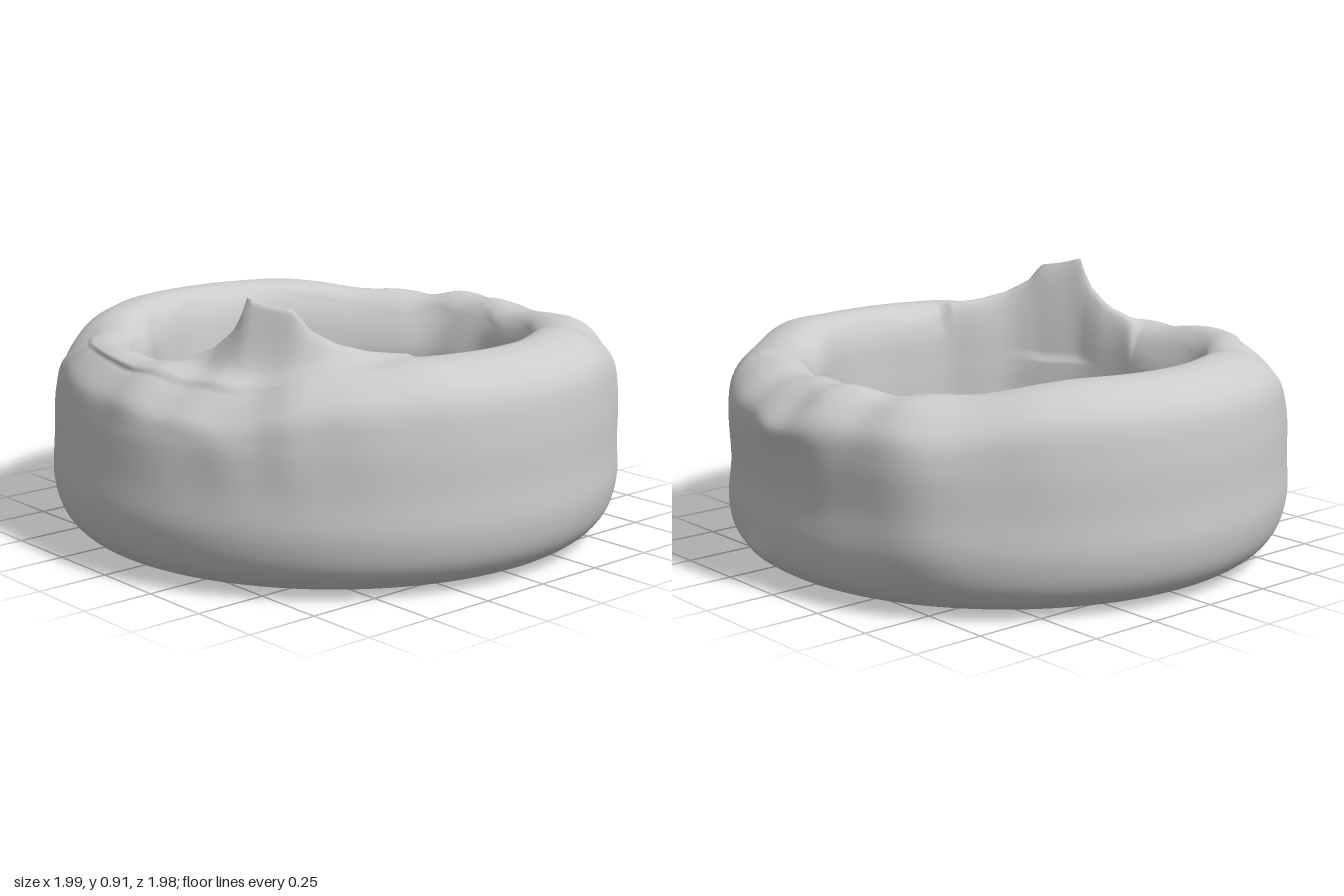
import * as THREE from 'three';

const DEG = Math.PI / 180;
const smooth = (x, a, b) => THREE.MathUtils.smoothstep(x, a, b);
const bell = (x, c, w) => Math.exp(-(((x - c) / w) ** 2));
// bell over an angle in degrees, wrapping round the ring
const bellAngle = (a, c, w) => bell(((a - c + 540) % 360) - 180, 0, w);

// Height of the torn fin along the inner rim: [angle, height]
const FIN = [[112, 0.735], [123, 0.75], [131, 0.775], [138, 0.82], [142, 0.882],
  [148, 0.892], [154.5, 0.912], [156.5, 0.845], [159, 0.8], [165, 0.74], [174, 0.69]];

function finHeight(a) {
  for (let i = 1; i < FIN.length; i++) {
    const [a0, h0] = FIN[i - 1], [a1, h1] = FIN[i];
    if (a >= a0 && a <= a1) return h0 + (h1 - h0) * (a - a0) / (a1 - a0);
  }
  return 0;
}

// Cross-section as radius and height, running up the outside and down the inside
const SECTION = [[0.70, 0.008], [0.78, 0.002], [0.895, 0.034], [0.958, 0.098], [0.988, 0.2],
  [0.986, 0.34], [0.982, 0.5], [0.96, 0.63], [0.91, 0.692], [0.83, 0.73], [0.75, 0.733],
  [0.7, 0.705], [0.668, 0.64], [0.655, 0.5], [0.645, 0.3], [0.612, 0.2], [0.59, 0.13], [0.622, 0.055]];

// Melted, uneven wear applied to one point of the ring
function wear(r, y, a) {
  const t = a * DEG;
  const sides = smooth(Math.abs(Math.cos(t)), 0.35, 0.85);
  const top = smooth(y, 0.45, 0.7);
  const outer = smooth(r, 0.72, 0.95);
  const lumps = 0.5 * Math.sin(7 * t + 1.6 * Math.sin(3 * t) + 4 * r)
    + 0.4 * Math.sin(15 * t + 2 * Math.sin(4 * t + 1) - 9 * r);
  let nr = r, ny = y;

  // sagging and lumpy top on both sides
  ny += top * sides * (-0.045 + 0.016 * lumps);
  ny -= top * outer * (0.05 * bellAngle(a, 158, 16) + 0.025 * bellAngle(a, 185, 16));
  ny += top * (0.015 * bellAngle(a, 60, 9) + 0.025 * bellAngle(a, 33, 6) * outer);
  // inner rim worn wider along both sides and at the back
  const rim = top * (1 - outer);
  nr += rim * (0.06 * bellAngle(a, 197, 16) + 0.05 * bellAngle(a, 340, 28) + 0.015 * bellAngle(a, 270, 25));
  nr += top * sides * 0.01 * lumps;
  // ripples in the inner wall
  if (r < 0.69) nr += 0.005 * Math.sin(11 * t + 2 * Math.sin(3 * t)) * smooth(y, 0.2, 0.4);
  // outer wall: leaning right side, dents, swollen shoulder and low burrs on the left
  if (r > 0.85) {
    nr += 0.008 * bellAngle(a, 180, 35) * (1 - smooth(y, 0.2, 0.6));
    nr -= 0.022 * bellAngle(a, 180, 40) * smooth(y, 0.2, 0.6);
    nr -= 0.038 * bellAngle(a, 8, 24) * bell(y, 0.31, 0.18);
    nr += 0.03 * bellAngle(a, -2, 9) * bell(y, 0.58, 0.08);
    nr += 0.025 * bellAngle(a, 327, 9) * smooth(y, 0.05, 0.3);
    nr -= 0.022 * bellAngle(a, 38, 8) * bell(y, 0.4, 0.22);
    nr += 0.016 * bellAngle(a, 10, 6) * bell(y, 0.1, 0.04);
    nr += 0.004 * sides * Math.sin(19 * t + 2 * Math.sin(5 * t)) * smooth(y, 0.25, 0.5);
  }
  // thin fin pulled up from the inner rim, steep on its outer face
  const h = finHeight(a);
  if (h && y > 0.55) {
    const w = bell(r, 0.71, r > 0.71 ? 0.042 : 0.055);
    const tall = smooth(h, 0.75, 0.9);
    ny += w * (h - ny) * smooth(y, 0.55, 0.69);
    nr += (0.718 - nr) * 0.45 * w * tall;
  }
  return [nr, ny];
}

function ringGeometry(around = 240, rows = 110) {
  const curve = new THREE.CatmullRomCurve3(
    SECTION.map(([r, y]) => new THREE.Vector3(r, y, 0)), true, 'centripetal');
  const section = curve.getSpacedPoints(rows).slice(0, rows);
  const pos = [], index = [];
  for (let j = 0; j < around; j++) {
    const a = j * 360 / around;
    section.forEach((p, i) => {
      const [r, y] = wear(p.x, p.y, a);
      pos.push(r * Math.cos(a * DEG), Math.max(0, y), r * Math.sin(a * DEG));
      const i1 = (i + 1) % rows, j1 = (j + 1) % around;
      const A = j * rows + i, B = j * rows + i1, C = j1 * rows + i1, D = j1 * rows + i;
      index.push(A, B, C, A, C, D);
    });
  }
  const geo = new THREE.BufferGeometry();
  geo.setAttribute('position', new THREE.Float32BufferAttribute(pos, 3));
  geo.setIndex(index);
  geo.computeVertexNormals();
  return geo;
}

export function createModel() {
  const group = new THREE.Group();
  group.name = 'wornTyre';
  const ring = new THREE.Mesh(ringGeometry(), new THREE.MeshStandardMaterial({ color: 0xcccccc }));
  ring.name = 'meltedRing';
  group.add(ring);
  return group;
}
